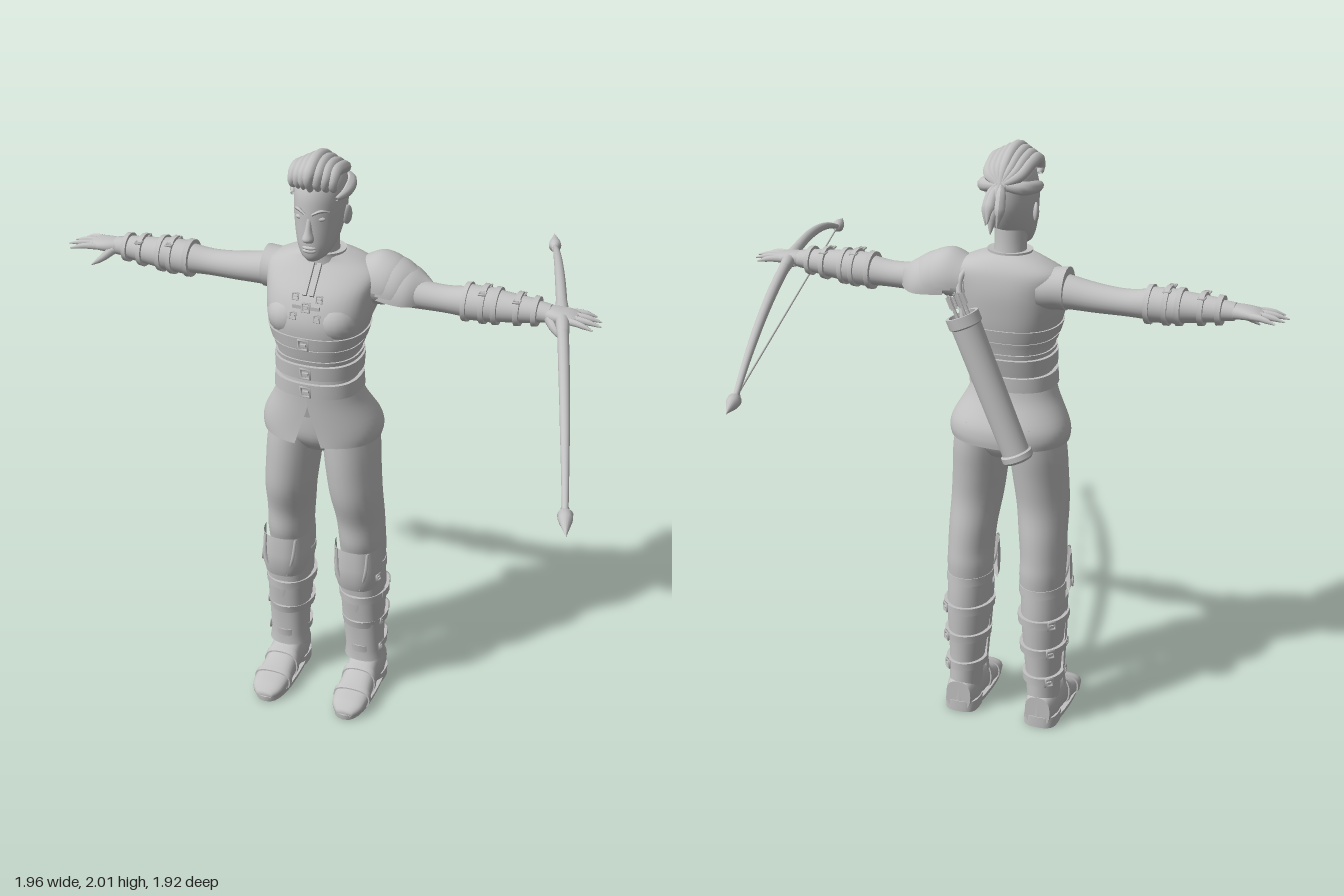
import * as THREE from 'three';
import { toCreasedNormals } from 'three/addons/utils/BufferGeometryUtils.js';

const grey = new THREE.MeshStandardMaterial({ color: 0xc2c2c2, side: THREE.DoubleSide });
grey.name = 'lightGrey';
const V = (x, y, z) => new THREE.Vector3(x, y, z);

function add(parent, name, geo, pos = [0, 0, 0], rot = [0, 0, 0], scale = [1, 1, 1]) {
  const m = new THREE.Mesh(geo, grey);
  m.name = name;
  m.position.set(...pos); m.rotation.set(...rot); m.scale.set(...scale);
  parent.add(m);
  return m;
}

// Rings are [t, a, b, radiusA, radiusB, gapHalfAngle]; smooth() adds in-between rings.
function smooth(rings, k = 4) {
  const out = [], at = i => rings[Math.max(0, Math.min(rings.length - 1, i))];
  for (let i = 0; i < rings.length - 1; i++) for (let j = 0; j < k; j++) {
    const t = j / k, [p, q, r, s] = [at(i - 1), at(i), at(i + 1), at(i + 2)];
    out.push(q.map((v, c) => 0.5 * (2 * v + (r[c] - p[c]) * t + (2 * p[c] - 5 * v + 4 * r[c] - s[c]) * t * t
      + (3 * v - p[c] - 3 * r[c] + s[c]) * t * t * t)));
  }
  return [...out, at(rings.length - 1)];
}

// Skin rings stacked along an axis, capped unless the rings have a gap facing angle mid.
function loft(rings, axis = 'y', { n = 24, e = 2, mid = 0 } = {}) {
  const pos = [], idx = [], open = rings.some(r => r[5] > 0);
  const put = (t, a, b) => pos.push(...(axis === 'y' ? [a, t, b] : axis === 'x' ? [t, a, b] : [a, b, t]));
  const pw = v => Math.sign(v) * Math.abs(v) ** (2 / e);
  for (const [t, a, b, ra, rb, g = 0] of rings) for (let j = 0; j <= n; j++) {
    const th = mid + g + (j % n === 0 && !open ? 0 : j / n) * (2 * Math.PI - 2 * g);
    put(t, a + ra * pw(Math.cos(th)), b + rb * pw(Math.sin(th)));
  }
  const flip = (axis === 'y') !== (rings.at(-1)[0] < rings[0][0]);
  const tri = (a, b, c) => idx.push(...(flip ? [a, c, b] : [a, b, c]));
  const w = n + 1, last = (rings.length - 1) * w;
  for (let i = 0; i < rings.length - 1; i++) for (let j = 0; j < n; j++) {
    const p = i * w + j;
    tri(p, p + 1, p + w); tri(p + 1, p + w + 1, p + w);
  }
  if (!open) {
    const c = pos.length / 3;
    put(...rings[0].slice(0, 3)); put(...rings.at(-1).slice(0, 3));
    for (let j = 0; j < n; j++) { tri(c, j + 1, j); tri(c + 1, last + j, last + j + 1); }
  }
  const g = new THREE.BufferGeometry();
  g.setAttribute('position', new THREE.Float32BufferAttribute(pos, 3));
  g.setIndex(idx);
  return toCreasedNormals(g.scale(100, 100, 100), 0.9).scale(0.01, 0.01, 0.01);
}

// Strap that hugs a lofted form between t0 and t1
function band(rings, t0, t1, grow, axis = 'y', opts) {
  const at = t => {
    const up = rings.at(-1)[0] > rings[0][0];
    let i = rings.findIndex(r => (up ? r[0] >= t : r[0] <= t));
    if (i < 1) i = 1;
    const p = rings[i - 1], q = rings[i], f = (t - p[0]) / (q[0] - p[0]);
    return p.slice(0, 5).map((v, c) => v + (q[c] - v) * f + (c > 2 ? grow : 0));
  };
  return loft([at(t0), at(t1)], axis, opts);
}

// Tube along points with changing radius
function taper(points, radii, seg = 16, sides = 10) {
  const curve = new THREE.CatmullRomCurve3(points.map(p => V(...p)));
  const g = new THREE.TubeGeometry(curve, seg, 1, sides), P = g.attributes.position, v = V(0, 0, 0);
  for (let i = 0; i <= seg; i++) {
    const c = curve.getPointAt(i / seg), f = i / seg * (radii.length - 1), k = Math.min(Math.floor(f), radii.length - 2);
    const r = THREE.MathUtils.lerp(radii[k], radii[k + 1], f - k);
    for (let j = 0; j <= sides; j++) {
      v.fromBufferAttribute(P, i * (sides + 1) + j).sub(c).multiplyScalar(r).add(c);
      P.setXYZ(i * (sides + 1) + j, v.x, v.y, v.z);
    }
  }
  g.computeVertexNormals();
  return g;
}
const ball = new THREE.SphereGeometry(1, 20, 14);

// Square frame with a prong, facing +z before rotation
function buckle(parent, pos, size, rot = [0, 0, 0]) {
  const g = new THREE.Group();
  g.name = 'buckle'; g.position.set(...pos); g.rotation.set(...rot);
  add(g, 'buckleFrame', new THREE.TorusGeometry(size, size * 0.25, 6, 4), [0, 0, 0], [0, 0, Math.PI / 4]);
  add(g, 'bucklePin', new THREE.BoxGeometry(size * 0.9, size * 0.3, size * 0.4));
  parent.add(g);
}

function buildTorso(b) {
  const torso = smooth([[1.12, 0, .02, .15, .12], [1.22, 0, .05, .133, .112], [1.3, 0, .042, .13, .118], [1.36, 0, .042, .137, .13],
    [1.42, 0, .04, .155, .142], [1.48, 0, .035, .17, .145], [1.55, 0, .018, .178, .132], [1.61, 0, -.005, .185, .1], [1.645, 0, -.01, .13, .075], [1.665, 0, 0, .07, .06]]);
  add(b, 'torso', loft(torso, 'y', { n: 40, e: 2.4 }));
  const strap = { n: 40, e: 2.4 };
  for (const [y, h, grow] of [[1.41, .018, .006], [1.3, .024, .012], [1.235, .024, .012], [1.375, .008, .004], [1.335, .007, .006]])
    add(b, 'belt', band(torso, y - h, y + h, grow, 'y', strap));
  for (const [y, z] of [[1.41, .195], [1.3, .178], [1.235, .178]]) buckle(b, [0, y, z], .022);
  for (const s of [-1, 1]) {
    add(b, 'bust', ball, [s * .075, 1.47, .095], [0, 0, 0], [.078, .075, .083]);
    for (const y of [1.5, 1.555]) buckle(b, [s * .04, y, y > 1.52 ? .153 : .178], .014, [-.3, 0, 0]);
    add(b, 'collarStrap', new THREE.BoxGeometry(.014, .11, .012), [s * .012, 1.6, .11], [-.75, 0, 0]);
    add(b, 'sleeveCap', loft(smooth([[s * .12, 1.56, -.015, .07, .08], [s * .17, 1.565, -.015, .068, .072], [s * .203, 1.567, -.015, .07, .068]]), 'x'));
  }
  buckle(b, [0, 1.528, .168], .018, [-.3, 0, 0]);
  add(b, 'clasp', new THREE.BoxGeometry(.09, .012, .012), [0, 1.528, .163]);
  add(b, 'collar', loft([[1.625, 0, 0, .085, .075], [1.66, 0, .005, .072, .065], [1.672, 0, .006, .074, .067], [1.67, 0, .006, .06, .052]]));
  add(b, 'neck', loft(smooth([[1.6, 0, -.005, .06, .055], [1.68, 0, .008, .052, .052], [1.77, 0, .015, .055, .056]])));
  // Flared skirt, split at the front
  add(b, 'skirt', loft(smooth([[1.215, 0, .048, .138, .118, .0], [1.17, 0, .04, .155, .125, .005], [1.1, 0, .02, .193, .145, .1], [1.06, 0, .016, .203, .15, .15], [1.03, 0, .018, .198, .15, .2]]),
    'y', { n: 48, e: 2.2, mid: Math.PI / 2 }));
  add(b, 'hips', loft(smooth([[1.2, 0, .04, .13, .1], [1.1, 0, .015, .17, .125], [1.03, 0, .012, .165, .12], [.98, 0, .01, .08, .09]])));
}

function buildHead(b) {
  const head = smooth([[1.668, 0, .095, .022, .028], [1.685, 0, .078, .044, .055], [1.715, 0, .06, .06, .077], [1.75, 0, .045, .07, .092], [1.79, 0, .033, .077, .103],
    [1.83, 0, .026, .081, .109], [1.88, 0, .022, .08, .108], [1.92, 0, .016, .07, .096], [1.95, 0, .012, .045, .065], [1.963, 0, .01, .01, .02]]);
  add(b, 'head', loft(head, 'y', { n: 32 }));
  add(b, 'nose', loft(smooth([[1.738, 0, .136, .015, .012], [1.75, 0, .142, .019, .021], [1.775, 0, .135, .012, .016], [1.815, 0, .126, .008, .01]]), 'y', { n: 12 }));
  for (const [y, h] of [[1.717, .007], [1.707, .008]]) add(b, 'lip', ball, [0, y, .131], [0, 0, 0], [.023, h, .012]);
  for (const s of [-1, 1]) {
    add(b, 'eye', ball, [s * .033, 1.812, .117], [0, 0, 0], [.016, .008, .011]);
    add(b, 'eyebrow', taper([[s * .012, 1.829, .137], [s * .035, 1.84, .128], [s * .058, 1.832, .103]], [.004, .006, .002], 8, 6));
    add(b, 'ear', ball, [s * .082, 1.795, .015], [0, s * -.4, 0], [.01, .032, .02]);
    add(b, 'sideHair', taper([[s * .072, 1.87, .085], [s * .083, 1.875, .03], [s * .065, 1.885, -.05], [0, 1.895, -.085]], [.006, .02, .022, .012]));
  }
  // Swept-back locks gathered into a tail
  for (let i = -3; i <= 3; i++) {
    const x = i * .02, d = Math.abs(i) * .011;
    add(b, 'hairLock', taper([[x * 1.1, 1.9, .115 - d * .8], [x * 1.1, 1.95 - d, .135 - d], [x * 1.05, 1.982 - d, .08], [x, 1.978 - d, .01], [x * .8, 1.94 - d * .6, -.055], [0, 1.895, -.085]],
      [.01, .02, .021, .02, .018, .01], 24));
  }
  add(b, 'hairTie', new THREE.TorusGeometry(.014, .008, 8, 16), [0, 1.893, -.088], [.5, 0, 0]);
  for (const [x, y, z] of [[0, 1.765, -.172], [.018, 1.79, -.165], [-.018, 1.785, -.16], [0, 1.8, -.14], [.008, 1.8, -.178]])
    add(b, 'ponytail', taper([[0, 1.895, -.08], [x * .7, 1.885, -.115], [x, (y + 1.885) / 2, z * .5 - .065], [x, y, z]], [.008, .018, .02, .002]));
}

function buildArm(b, s) {
  const arm = smooth([[.12, 1.56, -.015, .062, .065], [.2, 1.557, -.015, .055, .058], [.3, 1.548, -.015, .047, .05], [.4, 1.545, -.015, .043, .046],
    [.5, 1.55, -.012, .05, .05], [.6, 1.552, -.01, .044, .045], [.7, 1.555, -.008, .033, .036], [.74, 1.555, -.006, .028, .034]].map(([t, ...r]) => [t * s, ...r]));
  add(b, 'arm', loft(arm, 'x'));
  add(b, 'bracer', band(arm, s * .465, s * .575, .008, 'x'));
  add(b, 'wristGuard', band(arm, s * .575, s * .7, .004, 'x'));
  for (const t of [.472, .53, .57, .64, .695]) {
    add(b, 'bracerStrap', band(arm, s * (t - .008), s * (t + .008), .014, 'x'));
    if (t === .53 || t === .64) for (const z of [-.035, .03]) buckle(b, [s * t, 1.603 - (t - .53) * .08, z], .014, [-Math.PI / 2, 0, 0]);
  }
  // Hand with spread fingers
  add(b, 'palm', loft(smooth([[.72, 1.555, -.006, .024, .03], [.76, 1.557, -.004, .021, .04], [.8, 1.556, -.006, .017, .044], [.825, 1.553, -.008, .012, .042]].map(([t, ...r]) => [t * s, ...r])), 'x', { e: 2.4 }));
  [[.027, .048, .885], [.006, .013, .905], [-.016, -.021, .898], [-.038, -.055, .875]].forEach(([z0, z1, end]) =>
    add(b, 'finger', taper([[s * .79, 1.556, z0], [s * (.79 + end) / 2, 1.555, (z0 + z1) / 2], [s * end, 1.545, z1]], [.012, .011, .009, .002], 12, 8)));
  add(b, 'thumb', taper([[s * .74, 1.55, .018], [s * .77, 1.525, .045], [s * .805, 1.5, .056]], [.016, .014, .01, .002], 12, 8));
}

function buildLeg(b, s) {
  const side = r => r.map(([t, x, ...k]) => [t, x * s, ...k]);
  add(b, 'trouserLeg', loft(smooth(side([[1.1, .085, .01, .085, .12], [1, .098, .014, .092, .122], [.9, .107, .02, .09, .116], [.8, .117, .02, .086, .108],
    [.7, .125, .0, .08, .1], [.62, .13, -.006, .077, .1], [.56, .13, -.016, .077, .094], [.48, .13, -.018, .074, .085]]))));
  const boot = smooth(side([[.53, .13, -.018, .072, .086], [.44, .134, -.015, .074, .094], [.36, .136, -.016, .072, .092], [.26, .138, -.022, .064, .08], [.18, .141, -.026, .058, .073], [.1, .144, -.03, .056, .07], [.02, .146, -.038, .056, .064]]));
  add(b, 'boot', loft(boot));
  add(b, 'bootCuff', band(boot, .525, .495, .006));
  // Shin plate and kneepad wrap the front
  const plate = { mid: -Math.PI / 2, e: 2.5 };
  add(b, 'shinGuard', loft(side([[.47, .134, -.01, .077, .094, 1.6], [.34, .137, -.015, .075, .088, 1.6], [.17, .141, -.022, .067, .076, 1.6], [.13, .142, -.022, .072, .08, 1.6]]), 'y', plate));
  add(b, 'kneePad', loft(side([[.61, .13, .01, .082, .102, 1.7], [.54, .131, .018, .083, .102, 1.6], [.49, .132, .015, .082, .104, 1.7], [.455, .133, .01, .075, .098, 2.1]]), 'y', plate));
  for (const e of [-1, 1]) add(b, 'kneeRidge', taper([[s * .13 + e * .055, .61, .1], [s * .132 + e * .05, .54, .109], [s * .133 + e * .028, .46, .104]], [.005, .006, .004], 8, 6));
  for (const y of [.18, .29, .4]) {
    add(b, 'bootStrap', band(boot, y + .014, y - .014, .012));
    const x = .14 + .066 + (y - .18) * .03;
    buckle(b, [s * x, y, .012], .016, [0, s * Math.PI / 2, 0]);
    buckle(b, [s * (x - .02), y, -.095], .018, [0, s * Math.PI * .75, 0]);
  }
  buckle(b, [s * .212, .5, .06], .016, [0, s * 1.3, 0]);
  // Shoe, sole and instep strap
  const foot = smooth(side([[-.1, .146, .06, .045, .055], [-.04, .146, .07, .057, .066], [.03, .146, .068, .057, .064], [.09, .147, .05, .058, .046], [.15, .149, .038, .062, .034], [.2, .15, .031, .054, .025], [.23, .15, .022, .028, .012]]));
  add(b, 'shoe', loft(foot, 'z', { e: 2.6 }));
  add(b, 'sole', loft(side([[0, .147, .066, .058, .168], [.02, .147, .066, .062, .17]]), 'y', { e: 2.6 }));
  add(b, 'heel', loft(side([[0, .146, -.044, .058, .06], [.04, .146, -.042, .06, .062]]), 'y', { e: 3 }));
  for (const z of [.06, .135]) add(b, 'shoeStrap', band(foot, z, z + .018, .005, 'z', { e: 2.6 }));
}

function buildShoulderPad(b) {
  // Overlapping pointed plates on the left shoulder
  [[0, 0], [.028, -.012], [.056, -.03]].forEach(([dx, dy]) => add(b, 'shoulderPlate', loft(smooth([[.13, 1.565, -.035, .08, .08, 1.5],
    [.18, 1.565, -.035, .1, .092, 1.5], [.23, 1.562, -.035, .092, .088, 1.5], [.27, 1.56, -.035, .07, .055, 1.5], [.3, 1.56, -.035, .05, .012, 1.5]].map(([t, y, ...r]) => [t + dx, y + dy, ...r])),
  'x', { mid: Math.PI })));
}

function buildQuiver(b) {
  const g = new THREE.Group();
  g.name = 'quiver';
  const top = V(.1, 1.49, -.16), low = V(-.095, 1.02, -.16);
  g.position.copy(top).add(low).multiplyScalar(.5);
  g.quaternion.setFromUnitVectors(V(0, 1, 0), top.clone().sub(low).normalize());
  const h = top.distanceTo(low) / 2;
  const pts = [[0, -h], [.045, -h], [.052, -h + .008], [.052, -h + .025], [.045, -h + .03], [.049, h - .04], [.055, h - .035], [.055, h], [.044, h], [.044, h - .06], [0, h - .06]];
  add(g, 'quiverCase', toCreasedNormals(new THREE.LatheGeometry(pts.map(p => new THREE.Vector2(...p)), 28).scale(100, 100, 100), .6).scale(.01, .01, .01));
  for (let i = 0; i < 5; i++) {
    const a = i * 1.257, x = Math.cos(a) * .022, z = Math.sin(a) * .022;
    add(g, 'arrowShaft', new THREE.CylinderGeometry(.004, .004, .14, 8), [x, h, z]);
    for (const r of [0, Math.PI / 2]) add(g, 'arrowFletching', new THREE.BoxGeometry(.022, .04, .002), [x, h + .045, z], [0, a + r, 0]);
  }
  b.add(g);
  add(b, 'quiverStrap', taper([[.1, 1.46, -.15], [.13, 1.58, -.1], [.1, 1.64, -.05]], [.008, .01, .008]));
}

function buildBow(root) {
  const g = new THREE.Group();
  g.name = 'bow'; g.position.set(.703, 0, 0); g.rotation.y = Math.atan2(.272, .962);
  const arc = t => [0, 1.553 - .155 * (t / .88) ** 2, t];
  const ts = [-.88, -.7, -.5, -.25, 0, .25, .5, .7, .88];
  add(g, 'bowLimbs', taper(ts.map(arc), [.009, .014, .017, .018, .017, .014, .009], 60, 12));
  add(g, 'bowGrip', taper([-.12, -.06, 0, .06, .12].map(arc), [.018, .021, .021, .021, .018], 16, 12));
  add(g, 'bowString', new THREE.CylinderGeometry(.003, .003, 1.8, 6), [0, 1.397, 0], [Math.PI / 2, 0, 0]);
  const tip = [[0, 0], [.012, .004], [.013, .025], [.022, .035], [.02, .06], [0, .145]].map(p => new THREE.Vector2(...p));
  for (const s of [-1, 1]) add(g, 'bowTip', new THREE.LatheGeometry(tip, 14), [0, 1.396, s * .855], [s * Math.PI / 2, 0, 0]);
  root.add(g);
}

export function createModel() {
  const root = new THREE.Group(), body = new THREE.Group();
  root.name = 'archer'; body.name = 'figure';
  body.position.x = -.075;
  root.add(body);
  buildTorso(body);
  buildHead(body);
  for (const s of [-1, 1]) { buildArm(body, s); buildLeg(body, s); }
  buildShoulderPad(body);
  buildQuiver(body);
  buildBow(root);
  return root;
}
